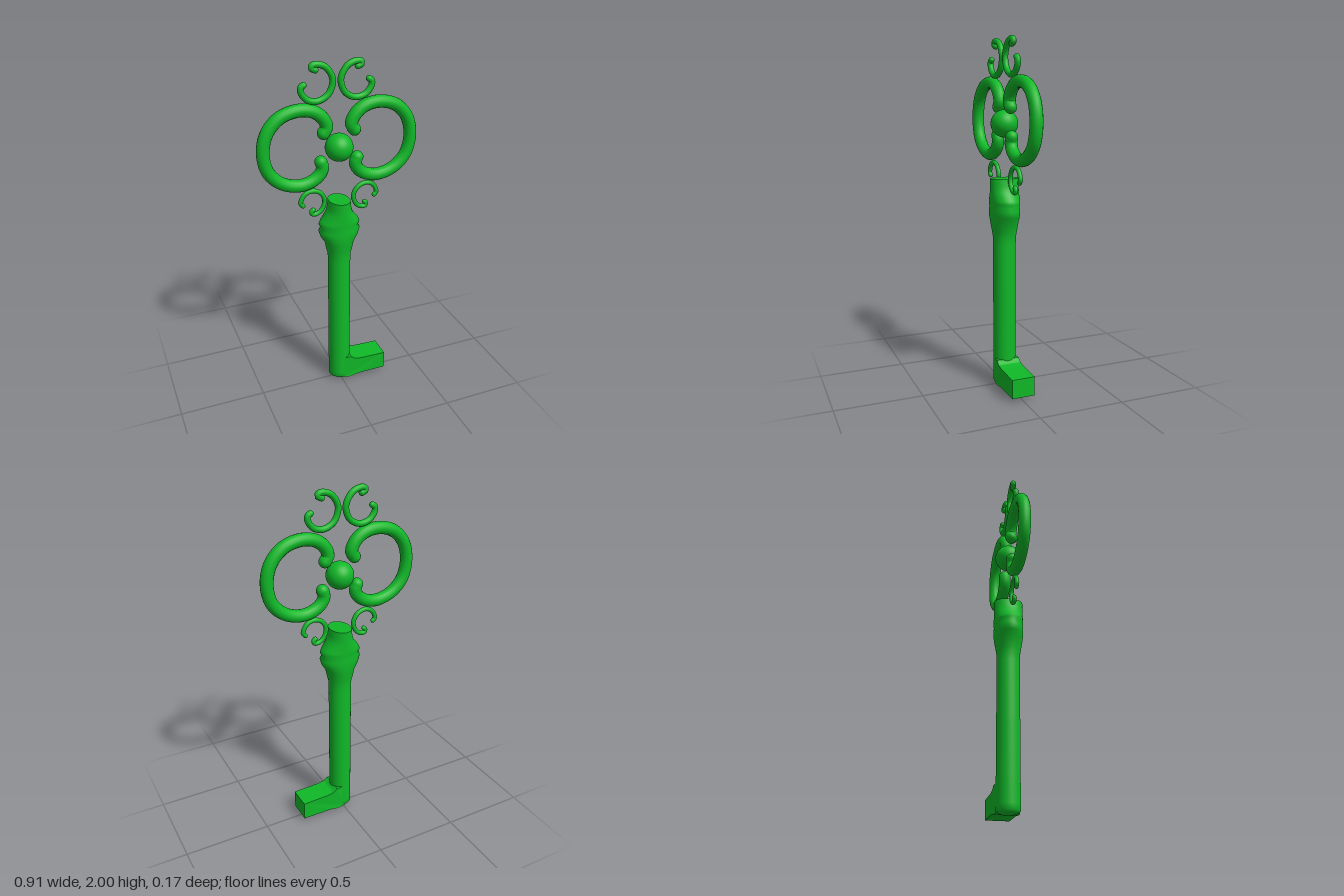
import * as THREE from 'three';
import { mergeVertices } from 'three/addons/utils/BufferGeometryUtils.js';

const green = new THREE.MeshStandardMaterial({ color: 0x10b828 });

function add(parent, name, geometry) {
  const mesh = new THREE.Mesh(geometry, green);
  mesh.name = name;
  parent.add(mesh);
  return mesh;
}

// Round wire following [x, y] points, with a ball at each end
function scroll(parent, name, points, radius, side, axis = 0) {
  const group = new THREE.Group();
  group.name = name;
  const path = points.map(([x, y]) => new THREE.Vector3(axis + side * (x - axis), y, 0));
  const curve = new THREE.CatmullRomCurve3(path, false, 'centripetal');
  add(group, name + 'Wire', new THREE.TubeGeometry(curve, 64, radius, 16));
  for (const end of [path[0], path[path.length - 1]]) {
    add(group, name + 'Tip', new THREE.SphereGeometry(radius, 16, 12)).position.copy(end);
  }
  parent.add(group);
}

// Shaft and collar in one: stations of [y, half width in x, half depth in z]
function shaftGeometry(stations) {
  const profile = stations.map(([y, rx]) => new THREE.Vector2(rx, y));
  let geometry = new THREE.LatheGeometry(profile, 40);
  const pos = geometry.attributes.position;
  for (let i = 0; i < pos.count; i++) {
    const [, rx, rz] = stations[i % stations.length];
    pos.setZ(i, pos.getZ(i) * rz / rx);
  }
  geometry.deleteAttribute('uv');
  geometry.deleteAttribute('normal');
  geometry = mergeVertices(geometry, 1e-5);
  geometry.computeVertexNormals();
  return geometry;
}

export function createModel() {
  const key = new THREE.Group();
  key.name = 'key';

  // Shaft with rounded foot, swelling into an oval collar
  add(key, 'shaftAndCollar', shaftGeometry([
    [0.005, 0.001, 0.001], [0.01, 0.03, 0.03], [0.018, 0.052, 0.052], [0.03, 0.065, 0.065],
    [0.06, 0.065, 0.065], [0.2, 0.065, 0.065], [0.5, 0.065, 0.065], [0.84, 0.065, 0.065],
    [0.89, 0.066, 0.066], [0.92, 0.075, 0.07], [0.97, 0.085, 0.079], [1.01, 0.11, 0.083],
    [1.045, 0.121, 0.083], [1.065, 0.107, 0.081], [1.085, 0.119, 0.083], [1.105, 0.11, 0.083],
    [1.15, 0.075, 0.083], [1.185, 0.065, 0.083], [1.225, 0.06, 0.083],
  ]));
  const cap = add(key, 'collarTop', new THREE.CircleGeometry(1, 40));
  cap.scale.set(0.06, 0.083, 1);
  cap.rotation.x = -Math.PI / 2;
  cap.position.y = 1.225;

  // Bit, flaring slightly where it meets the shaft
  const outline = new THREE.Shape([
    [0, 0.02], [0.05, 0.018], [0.11, 0.028], [0.28, 0.028],
    [0.28, 0.138], [0.12, 0.143], [0.08, 0.15], [0.055, 0.17], [0, 0.17],
  ].map(([x, y]) => new THREE.Vector2(x, y)));
  // Inner part narrows in depth so that it stays inside the shaft
  const bit = new THREE.ExtrudeGeometry(outline, { depth: 0.136, bevelEnabled: false });
  bit.translate(0, 0, -0.068);
  const p = bit.attributes.position;
  for (let i = 0; i < p.count; i++) if (p.getX(i) < 0.01) p.setZ(i, p.getZ(i) * 0.92);
  bit.computeVertexNormals();
  add(key, 'bit', bit);

  // Ball at the heart of the bow
  add(key, 'centreBall', new THREE.SphereGeometry(0.077, 32, 20)).position.y = 1.53;

  // Mirrored scrolls of the bow
  const large = [
    [0.088, 1.62], [0.07, 1.65], [0.09, 1.70], [0.143, 1.742], [0.228, 1.757], [0.328, 1.728],
    [0.397, 1.653], [0.421, 1.548], [0.397, 1.442], [0.328, 1.372], [0.228, 1.343],
    [0.148, 1.362], [0.105, 1.4], [0.095, 1.435], [0.105, 1.461],
  ];
  const upper = [
    [0.104, 1.955], [0.126, 1.967], [0.118, 1.98], [0.09, 1.982], [0.045, 1.962], [0.01, 1.898],
    [0.032, 1.828], [0.09, 1.795], [0.15, 1.807], [0.183, 1.85], [0.182, 1.874], [0.168, 1.884],
  ];
  const lower = [
    [0.212, 1.22], [0.225, 1.238], [0.202, 1.285], [0.159, 1.301], [0.111, 1.283], [0.086, 1.236],
    [0.101, 1.184], [0.132, 1.161], [0.158, 1.162], [0.163, 1.177], [0.153, 1.187],
  ];
  for (const side of [1, -1]) {
    const hand = side > 0 ? 'left' : 'right';
    scroll(key, hand + 'LargeScroll', large, 0.035, side);
    scroll(key, hand + 'UpperScroll', upper, 0.017, side, -0.0125);
    scroll(key, hand + 'LowerScroll', lower, 0.013, side);
  }
  return key;
}
